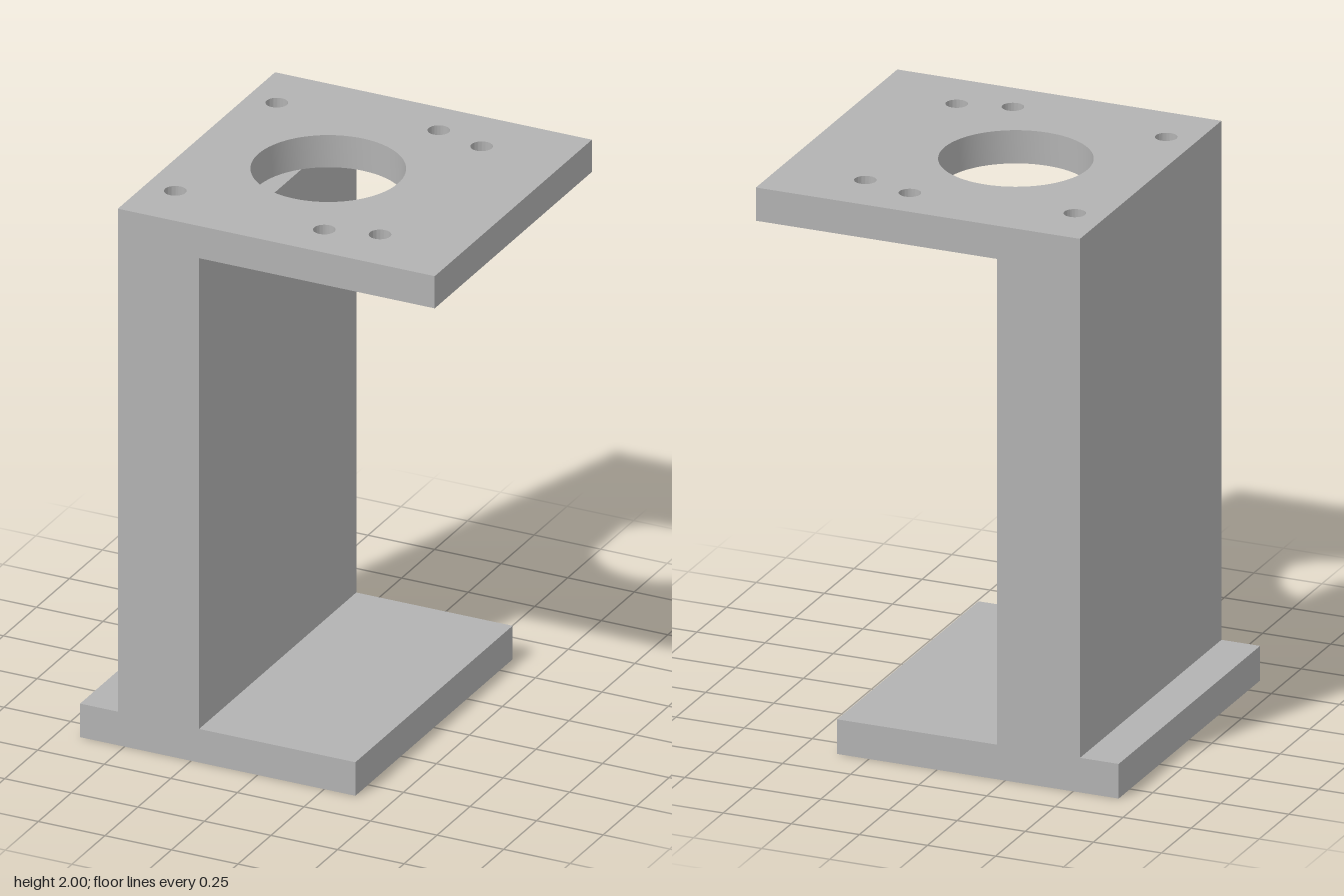
import * as THREE from 'three';
import { toCreasedNormals } from 'three/addons/utils/BufferGeometryUtils.js';

const HALF_DEPTH = 0.596;
const BASE_TOP = 0.125;
const PLATE_BOTTOM = 1.88;

export function createModel() {
  const model = new THREE.Group();
  model.name = 'motorBracket';

  const grey = new THREE.MeshStandardMaterial({ color: 0xb2b2b2 });
  grey.name = 'grey';

  const add = (name, geometry) => {
    const mesh = new THREE.Mesh(geometry, grey);
    mesh.name = name;
    model.add(mesh);
    return mesh;
  };

  const slab = (name, x0, x1, y0, y1) =>
    add(name, new THREE.BoxGeometry(x1 - x0, y1 - y0, HALF_DEPTH * 2))
      .position.set((x0 + x1) / 2, (y0 + y1) / 2, 0);

  // Foot and upright wall
  slab('basePlate', -0.667, 0.367, 0, BASE_TOP);
  slab('uprightWall', -0.525, -0.22, BASE_TOP, PLATE_BOTTOM);

  // Mounting plate, drawn in x and z, with a bore and six screw holes
  const outline = new THREE.Shape([
    new THREE.Vector2(-0.525, -HALF_DEPTH),
    new THREE.Vector2(0.665, -HALF_DEPTH),
    new THREE.Vector2(0.665, HALF_DEPTH),
    new THREE.Vector2(-0.525, HALF_DEPTH),
  ]);
  const drill = (x, z, radius) =>
    outline.holes.push(new THREE.Path().absarc(x, z, radius, 0, Math.PI * 2, true));

  drill(-0.03, 0, 0.262);
  for (const side of [-1, 1]) {
    drill(-0.414, side * 0.385, 0.038);
    drill(0.17, side * 0.434, 0.038);
    drill(0.355, side * 0.385, 0.038);
  }

  const plate = new THREE.ExtrudeGeometry(outline, {
    depth: 2 - PLATE_BOTTOM,
    bevelEnabled: false,
    curveSegments: 40,
  });
  plate.rotateX(Math.PI / 2);
  add('mountingPlate', toCreasedNormals(plate, 0.5)).position.y = 2;

  return model;
}
